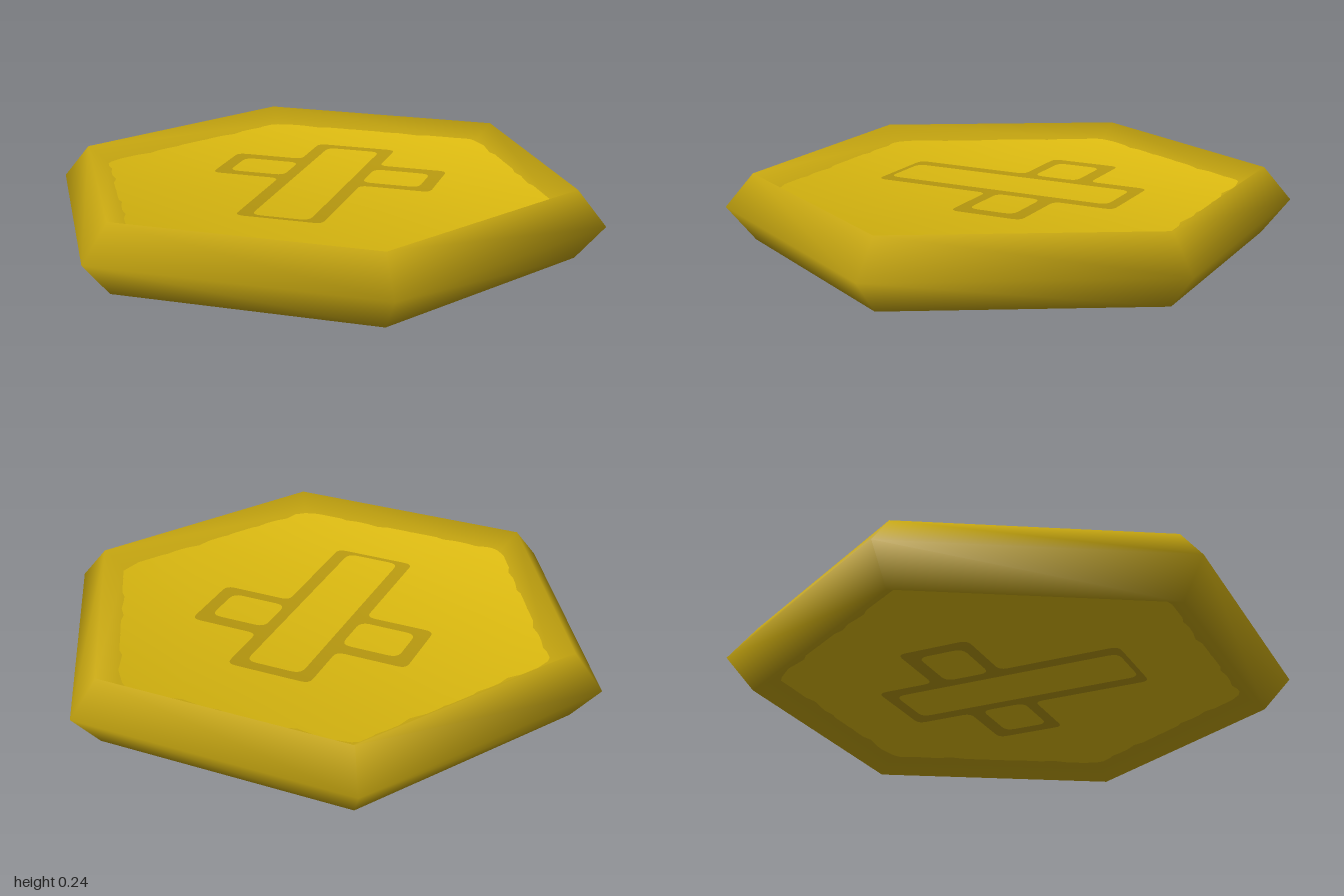
import * as THREE from 'three';

const FACE_Y = 0.186, MID_Y = 0.12;

// Closed outline with softened corners; points are [x, z]
function rounded(path, pts, r) {
  const v = pts.map(([x, z]) => new THREE.Vector2(x, -z));
  v.forEach((p, i) => {
    const prev = v[(i + v.length - 1) % v.length], next = v[(i + 1) % v.length];
    const a = p.clone().add(prev.clone().sub(p).setLength(r));
    const b = p.clone().add(next.clone().sub(p).setLength(r));
    if (i === 0) path.moveTo(a.x, a.y); else path.lineTo(a.x, a.y);
    path.quadraticCurveTo(p.x, p.y, b.x, b.y);
  });
  path.closePath();
  return path;
}

const rect = (x0, z0, x1, z1) => [[x0, z0], [x1, z0], [x1, z1], [x0, z1]];

// Flat plate whose normals lean inward, for a softly dished sheen
function plate(name, shape, y, material) {
  const g = new THREE.ShapeGeometry(shape, 4).rotateX(-Math.PI / 2).translate(0, y, 0);
  const p = g.attributes.position, n = new THREE.Vector3();
  for (let i = 0; i < p.count; i++) {
    n.set(-0.32 * p.getX(i), 1, -0.32 * p.getZ(i)).normalize();
    g.attributes.normal.setXYZ(i, n.x, n.y, n.z);
  }
  const m = new THREE.Mesh(g, material);
  m.name = name;
  return m;
}

// Hexagon with a worn, scalloped border
function fieldShape() {
  const pts = [], steps = 18;
  for (let s = 0; s < 6; s++) {
    const a = s * Math.PI / 3, b = a + Math.PI / 3;
    for (let i = 0; i < steps; i++) {
      const t = i / steps, k = s * steps + i;
      const corner = i === 0 ? -0.02 : 0;
      const r = 0.822 + corner + 0.007 * Math.sin(k * 2.1) + 0.006 * Math.sin(k * 0.73);
      pts.push(new THREE.Vector2(
        r * (Math.cos(a) * (1 - t) + Math.cos(b) * t),
        r * (Math.sin(a) * (1 - t) + Math.sin(b) * t)));
    }
  }
  return new THREE.Shape(pts);
}

// Cross outline with three open windows
function crossShape() {
  const shape = rounded(new THREE.Shape(), [
    [-0.15, -0.455], [0.15, -0.455], [0.15, -0.24], [0.4, -0.24], [0.4, 0.02], [0.15, 0.02],
    [0.15, 0.455], [-0.15, 0.455], [-0.15, 0.02], [-0.4, 0.02], [-0.4, -0.24], [-0.15, -0.24],
  ], 0.03);
  const windows = [rect(-0.1, -0.412, 0.1, 0.435), rect(0.145, -0.188, 0.35, -0.022), rect(-0.35, -0.188, -0.145, -0.022)];
  for (const w of windows) shape.holes.push(rounded(new THREE.Path(), w, 0.035));
  return shape;
}

export function createModel() {
  const material = (name, color) => {
    const m = new THREE.MeshStandardMaterial({ color });
    m.name = name;
    return m;
  };
  const rimGold = material('rimGold', 0xc6a610);
  const faceGold = material('faceGold', 0xdcba10);
  const lineGold = material('lineGold', 0xb8990f);

  const model = new THREE.Group();
  model.name = 'hexagonalCoin';

  // Six-sided body: bevelled edge, raised rim, recessed faces
  const profile = [[0, 0.054], [0.82, 0.054], [0.9, 0], [1, 0.12], [0.9, 0.24], [0.82, FACE_Y], [0, FACE_Y]]
    .map(([r, y]) => new THREE.Vector2(r, y));
  const body = new THREE.Mesh(new THREE.LatheGeometry(profile, 6, Math.PI / 2), rimGold);
  body.name = 'coinBody';
  model.add(body);

  // Same face on both sides
  for (const name of ['topFace', 'bottomFace']) {
    const face = new THREE.Group();
    face.name = name;
    face.add(plate('field', fieldShape(), FACE_Y - MID_Y + 0.002, faceGold));
    face.add(plate('crossOutline', crossShape(), FACE_Y - MID_Y + 0.005, lineGold));
    face.position.y = MID_Y;
    if (name === 'bottomFace') face.rotation.z = Math.PI;
    model.add(face);
  }
  return model;
}
